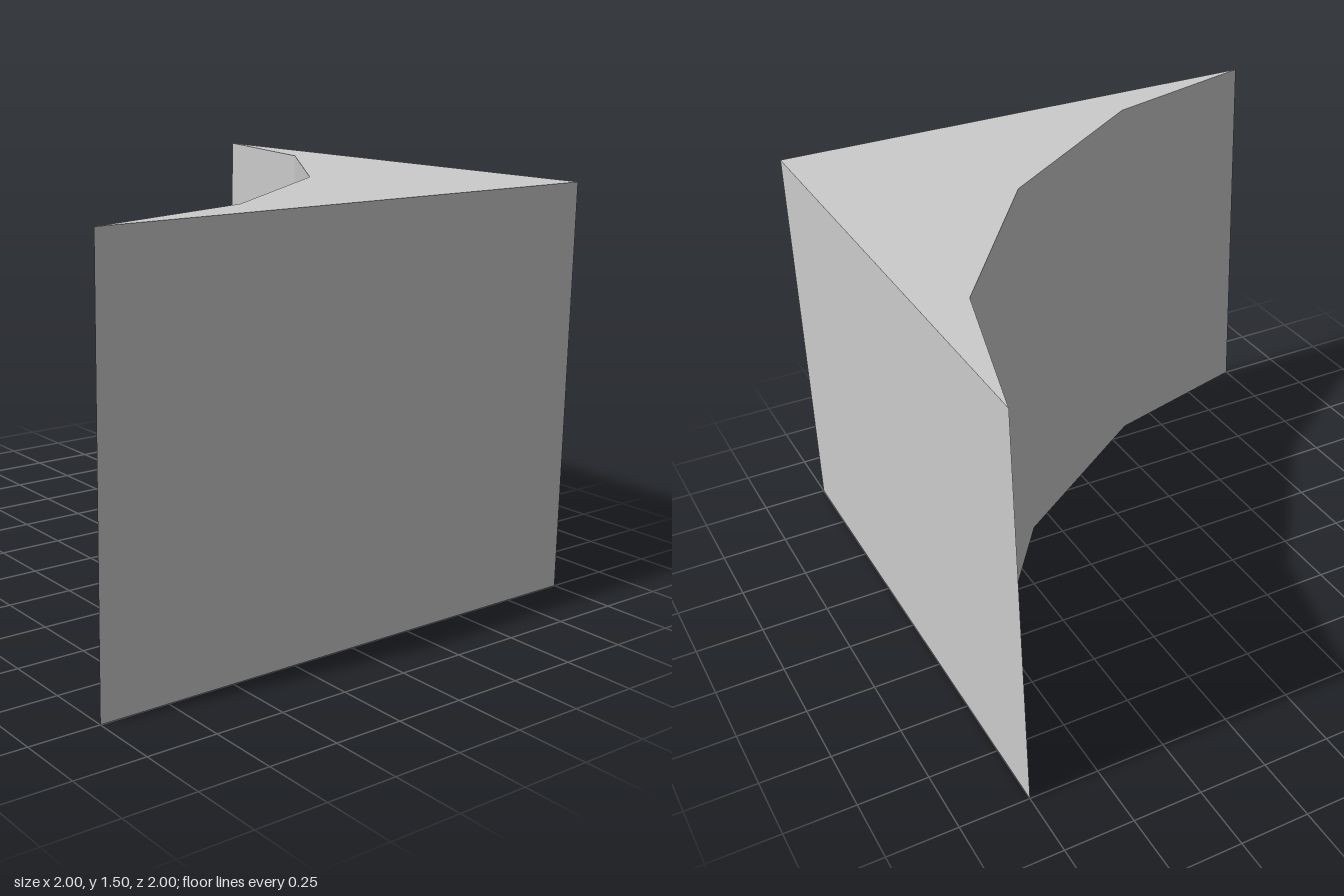
import * as THREE from 'three';

const HEIGHT = 1.5;

export function createModel() {
  const group = new THREE.Group();
  group.name = 'coveCorner';

  // Plan outline as (x, z): square back corner, then the faceted concave front
  const plan = [
    [1, -1], [-1, -1], [-0.35, -0.83], [0.33, -0.34], [0.82, 0.35], [1, 1],
  ];
  const shape = new THREE.Shape(plan.map(([x, z]) => new THREE.Vector2(x, -z)));

  // Raise the outline into an upright block standing on the ground
  const geometry = new THREE.ExtrudeGeometry(shape, { depth: HEIGHT, bevelEnabled: false });
  geometry.rotateX(-Math.PI / 2);

  const block = new THREE.Mesh(
    geometry,
    new THREE.MeshStandardMaterial({ color: 0xcccccc, flatShading: true }),
  );
  block.name = 'concaveCornerBlock';
  group.add(block);
  return group;
}
